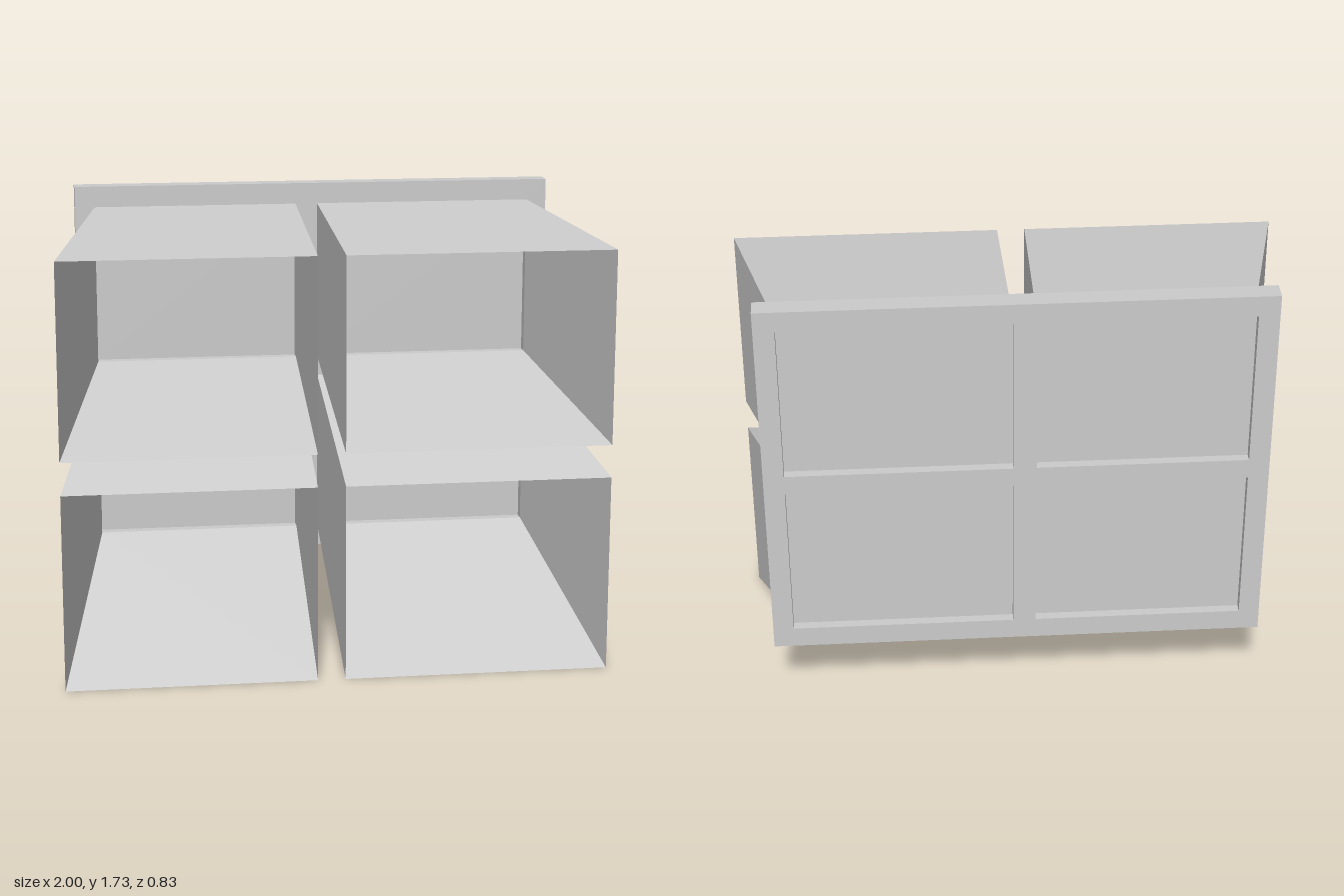
import * as THREE from 'three';

const material = new THREE.MeshStandardMaterial({ color: 0xcccccc, flatShading: true });
const thinMaterial = new THREE.MeshStandardMaterial({ color: 0xcccccc, flatShading: true, side: THREE.DoubleSide });

const BACK = -0.415, FRAME_FRONT = -0.34, PANE = -0.38, SHAFT_FRONT = 0.415;

// Window columns and rows: [min, max] at the frame and at the flared open end
const columns = [
  { side: 'Right', frame: [-0.83, -0.068], open: [-1, -0.08] },
  { side: 'Left', frame: [0.015, 0.83], open: [0.022, 1] },
];
const rows = [
  { level: 'lower', frame: [0.38, 0.985], open: [0.005, 0.735] },
  { level: 'upper', frame: [1.06, 1.655], open: [0.857, 1.575] },
];

// Corners of a rectangle, counter-clockwise seen from the front
function corners([x0, x1], [y0, y1], z) {
  return [[x0, y0, z], [x1, y0, z], [x1, y1, z], [x0, y1, z]];
}

// Open four-walled tube between two rectangles
function shaftGeometry(back, front) {
  const positions = [];
  for (let i = 0; i < 4; i++) {
    const j = (i + 1) % 4;
    positions.push(...back[i], ...back[j], ...front[j], ...back[i], ...front[j], ...front[i]);
  }
  const geometry = new THREE.BufferGeometry();
  geometry.setAttribute('position', new THREE.Float32BufferAttribute(positions, 3));
  geometry.computeVertexNormals();
  return geometry;
}

function rectanglePath(path, [x0, x1], [y0, y1]) {
  path.moveTo(x0, y0);
  path.lineTo(x1, y0);
  path.lineTo(x1, y1);
  path.lineTo(x0, y1);
  path.closePath();
  return path;
}

export function createModel() {
  const group = new THREE.Group();
  const add = (name, geometry, mat) => {
    const mesh = new THREE.Mesh(geometry, mat);
    mesh.name = name;
    group.add(mesh);
    return mesh;
  };

  const outline = rectanglePath(new THREE.Shape(), [-0.905, 0.905], [0.3, 1.733]);

  for (const column of columns) {
    for (const row of rows) {
      const name = row.level + column.side;
      outline.holes.push(rectanglePath(new THREE.Path(), column.frame, row.frame));

      // Flared light shaft, open at the front
      add(name + 'Shaft', shaftGeometry(
        corners(column.frame, row.frame, FRAME_FRONT),
        corners(column.open, row.open, SHAFT_FRONT)), thinMaterial);

      // Pane set halfway into the frame
      const [x0, x1] = column.frame, [y0, y1] = row.frame;
      add(name + 'Pane', new THREE.PlaneGeometry(x1 - x0, y1 - y0), thinMaterial)
        .position.set((x0 + x1) / 2, (y0 + y1) / 2, PANE);
    }
  }

  // Window frame with its four openings
  const frame = new THREE.ExtrudeGeometry(outline, { depth: FRAME_FRONT - BACK, bevelEnabled: false });
  add('windowFrame', frame, material).position.z = BACK;

  return group;
}
